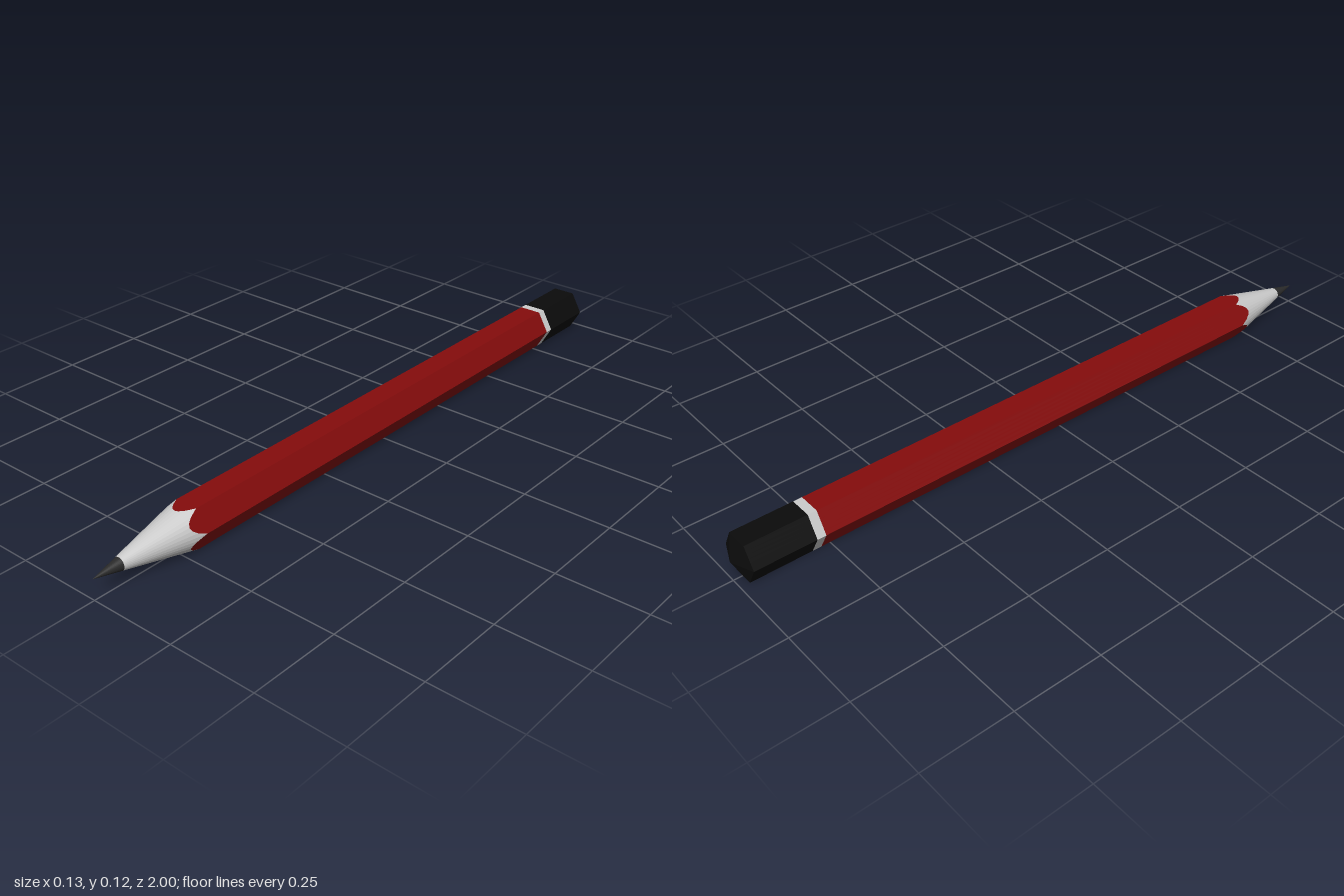
import * as THREE from 'three';

const APOTHEM = 0.0575;      // half the height across flats
const SLOPE = 0.2255;        // radius gained per unit along the sharpened cone
const PER_FACE = 6;          // strips on each of the six faces
const N = PER_FACE * 6;

// Radius of the hexagon (corners on +x and -x) at angle a
function hexRadius(a) {
  const third = Math.PI / 3;
  return APOTHEM / Math.cos((a % third) - third / 2);
}

// Cross-sections: each maps an angle to [radius, z]
const hexAt = (z) => (a) => [hexRadius(a), z];
const pointAt = (z) => () => [0, z];
const circleOnCone = (r) => () => [r, 1 - r / SLOPE];
const scallop = (a) => [hexRadius(a), 1 - hexRadius(a) / SLOPE];

// Skin a list of cross-sections running from front to back
function loft(name, color, sections) {
  const positions = [];
  const index = [];
  for (const section of sections) {
    for (let i = 0; i < N; i++) {
      const a = (i / N) * Math.PI * 2;
      const [r, z] = section(a);
      positions.push(r * Math.cos(a), r * Math.sin(a) + APOTHEM, z);
    }
  }
  for (let s = 0; s < sections.length - 1; s++) {
    const frontIsPoint = sections[s](0)[0] === 0;
    const backIsPoint = sections[s + 1](0)[0] === 0;
    for (let i = 0; i < N; i++) {
      const j = (i + 1) % N;
      const a = s * N + i, b = s * N + j, c = a + N, d = b + N;
      if (!frontIsPoint) index.push(a, c, b);
      if (!backIsPoint) index.push(b, c, d);
    }
  }
  let geometry = new THREE.BufferGeometry();
  geometry.setAttribute('position', new THREE.Float32BufferAttribute(positions, 3));
  geometry.setIndex(index);
  geometry = geometry.toNonIndexed();
  geometry.computeVertexNormals();
  const mesh = new THREE.Mesh(geometry, new THREE.MeshStandardMaterial({ color, flatShading: true }));
  mesh.name = name;
  return mesh;
}

export function createModel() {
  const pencil = new THREE.Group();
  pencil.name = 'pencil';
  const leadEdge = circleOnCone(0.018);

  pencil.add(
    // Sharpened tip
    loft('lead', 0x2a2a2a, [pointAt(1), leadEdge]),
    loft('sharpenedWood', 0xcccccc, [leadEdge, scallop]),
    // Painted hexagonal barrel with a scalloped front edge
    loft('barrel', 0x850c0c, [scallop, hexAt(-0.775)]),
    // Pale ring and dark end cap with a shallow point
    loft('band', 0xcccccc, [hexAt(-0.775), hexAt(-0.8)]),
    loft('endCap', 0x0b0b0b, [hexAt(-0.8), hexAt(-0.974), pointAt(-1)]),
  );
  return pencil;
}
